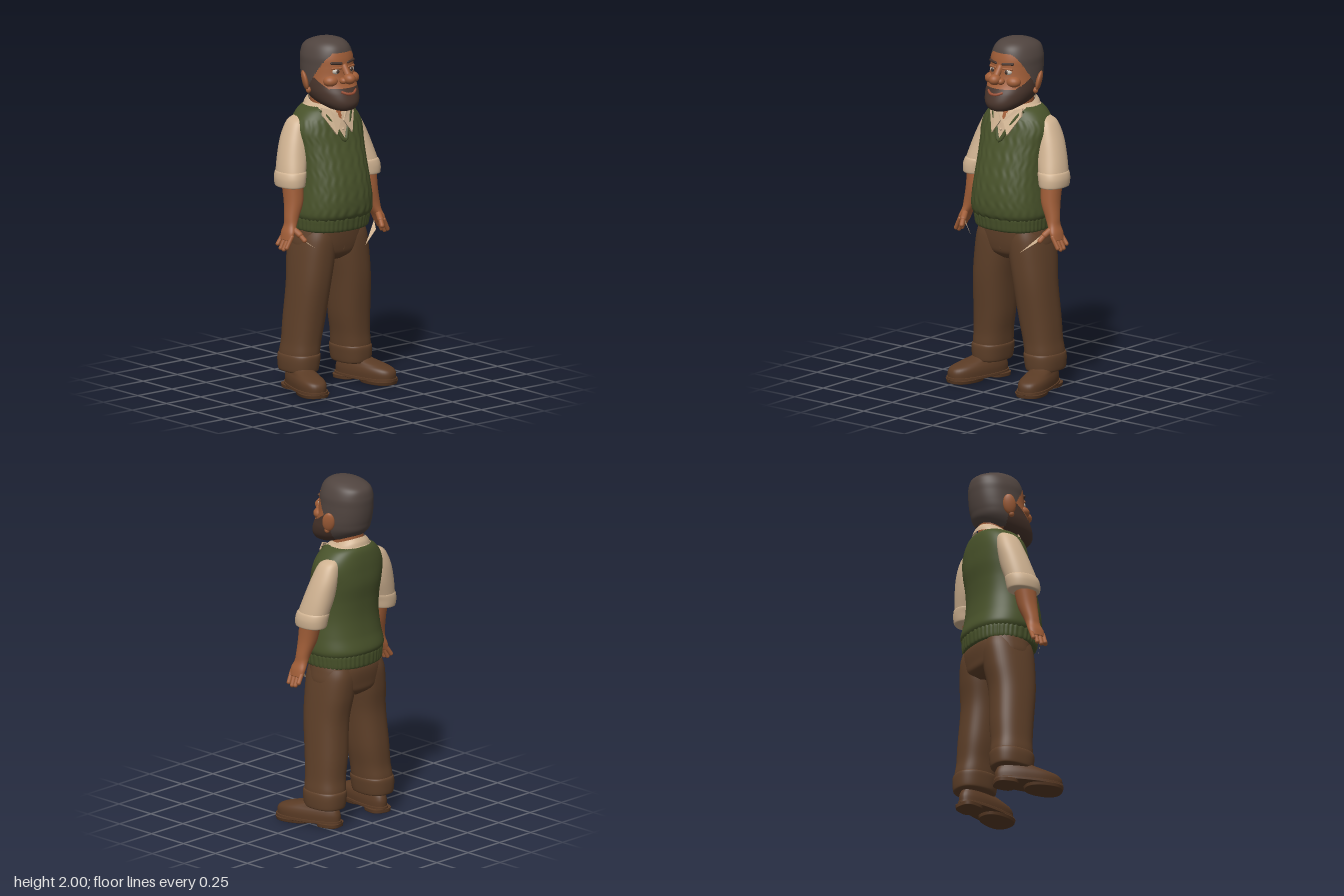
import * as THREE from 'three';

const mat = (name, color, side = THREE.FrontSide) => {
  const m = new THREE.MeshStandardMaterial({ color, side });
  m.name = name;
  return m;
};
const skin = mat('skin', 0xa15e38);
const hair = mat('hair', 0x50443f);
const beard = mat('beard', 0x49352c);
const knit = mat('green knit', 0x48522a);
const cloth = mat('cream cloth', 0xcfb291, THREE.DoubleSide);
const trouser = mat('brown trouser', 0x5f4029);
const leather = mat('shoe leather', 0x5a3b25);
const eyeWhite = mat('eye white', 0xc9bfb2);
const lip = mat('lip', 0x9a4f35);

// Smooth stack of horizontal superellipse rings; each section is [y, cx, cz, rx, rz], rising
function loft(sections, { n = 48, steps = 8, p = 2.2, swell = () => 1, pick, caps = true } = {}) {
  const rows = [], last = sections.length - 1;
  for (let i = 0; i <= last * steps; i++) {
    const k = Math.min(Math.floor(i / steps), last - 1), t = i / steps - k;
    const [a, b, c, d] = [-1, 0, 1, 2].map(o => sections[Math.max(0, Math.min(last, k + o))]);
    rows.push(b.map((v, q) => v + 0.5 * t * (c[q] - a[q] + t * (2 * a[q] - 5 * v + 4 * c[q] - d[q]
      + t * (3 * (v - c[q]) + d[q] - a[q])))));
  }
  const pos = [], tris = [];
  const pw = v => Math.sign(v) * Math.abs(v) ** (2 / p);
  for (const [y, cx, cz, rx, rz] of rows) for (let j = 0; j < n; j++) {
    const t = j / n * Math.PI * 2, f = swell(t, y);
    pos.push(cx + rx * f * pw(Math.sin(t)), y, cz + rz * f * pw(Math.cos(t)));
  }
  for (let i = 0; i < rows.length - 1; i++) for (let j = 0; j < n; j++) {
    const a = i * n + j, b = i * n + (j + 1) % n;
    tris.push([a, b, a + n], [b, b + n, a + n]);
  }
  if (caps) {
    const lo = pos.length / 3, top = (rows.length - 1) * n, e = rows[rows.length - 1];
    pos.push(rows[0][1], rows[0][0], rows[0][2], e[1], e[0], e[2]);
    for (let j = 0; j < n; j++) tris.push([lo, (j + 1) % n, j], [lo + 1, top + j, top + (j + 1) % n]);
  }
  const g = new THREE.BufferGeometry();
  g.setAttribute('position', new THREE.Float32BufferAttribute(pos, 3));
  if (pick) {
    // sort faces into colour groups by where their centre lies
    const buckets = [[], [], []];
    const mid = (t, o) => (pos[t[0] * 3 + o] + pos[t[1] * 3 + o] + pos[t[2] * 3 + o]) / 3;
    for (const t of tris) buckets[pick(mid(t, 0), mid(t, 1), mid(t, 2))].push(...t);
    let start = 0;
    buckets.forEach((b, m) => { g.addGroup(start, b.length, m); start += b.length; });
    g.setIndex(buckets.flat());
  } else g.setIndex(tris.flat());
  g.computeVertexNormals();
  return g;
}

// Section from half width, front z and back z
const fb = (y, hw, f, b) => [y, 0, (f + b) / 2, hw, (f - b) / 2];

export function createModel() {
  const root = new THREE.Group();
  root.name = 'man';
  const add = (name, geo, material, parent = root) => {
    const m = new THREE.Mesh(geo, material);
    m.name = name;
    parent.add(m);
    return m;
  };
  const ball = (name, material, p, s, parent) => {
    const m = add(name, new THREE.SphereGeometry(1, 24, 16), material, parent);
    m.position.set(...p);
    m.scale.set(...s);
    return m;
  };
  const rod = (name, material, a, b, r, parent) => {
    const A = new THREE.Vector3(...a), d = new THREE.Vector3(...b).sub(A), len = d.length();
    const m = add(name, new THREE.CapsuleGeometry(r, len, 6, 12), material, parent);
    m.position.copy(A).addScaledVector(d, 0.5);
    m.quaternion.setFromUnitVectors(new THREE.Vector3(0, 1, 0), d.normalize());
    return m;
  };
  const tube = (name, material, pts, r) => add(name, new THREE.TubeGeometry(
    new THREE.CatmullRomCurve3(pts.map(p => new THREE.Vector3(...p))), 32, r, 8), material);

  // Head with cropped hair and beard
  const headPick = (x, y, z) => {
    if (y > (z < -0.05 ? 1.65 : 1.93 - 1.6 * Math.max(0, 0.085 - z))) return 1;
    return z > -0.05 && y < (z > 0.1 ? 1.735 : 1.79 - 0.6 * Math.max(0, z)) ? 2 : 0;
  };
  add('head', loft([
    fb(1.602, 0.04, 0.14, 0.04), fb(1.615, 0.075, 0.165, 0), fb(1.65, 0.112, 0.178, -0.11),
    fb(1.70, 0.134, 0.163, -0.172), fb(1.75, 0.14, 0.135, -0.19), fb(1.80, 0.139, 0.118, -0.2),
    fb(1.85, 0.137, 0.113, -0.205), fb(1.90, 0.134, 0.108, -0.206), fb(1.95, 0.115, 0.092, -0.192),
    fb(1.98, 0.085, 0.062, -0.14), fb(1.995, 0.045, 0.02, -0.085), fb(2.0, 0.012, -0.02, -0.045),
  ], { n: 128, steps: 9, p: 2.15, pick: headPick }), [skin, hair, beard]);
  add('neck', loft([[1.48, 0, -0.06, 0.09, 0.1], [1.6, 0, -0.06, 0.08, 0.09], [1.7, 0, -0.06, 0.08, 0.09]]), skin);

  // Face
  ball('noseTip', skin, [0, 1.787, 0.15], [0.034, 0.031, 0.038]);
  rod('noseBridge', skin, [0, 1.85, 0.105], [0, 1.795, 0.145], 0.019);
  tube('lips', lip, [[-0.052, 1.716, 0.141], [-0.02, 1.704, 0.162], [0.02, 1.704, 0.162], [0.052, 1.716, 0.141]], 0.008);
  for (const s of [1, -1]) {
    ball('nostril', skin, [s * 0.03, 1.777, 0.132], [0.02, 0.019, 0.024]);
    ball('cheek', skin, [s * 0.075, 1.772, 0.078], [0.046, 0.034, 0.042]);
    ball('eye', eyeWhite, [s * 0.051, 1.828, 0.093], [0.025, 0.019, 0.02]);
    ball('iris', beard, [s * 0.05, 1.828, 0.108], [0.011, 0.012, 0.008]);
    rod('upperLid', skin, [s * 0.027, 1.845, 0.109], [s * 0.077, 1.845, 0.094], 0.007);
    rod('eyebrow', beard, [s * 0.025, 1.872, 0.109], [s * 0.08, 1.876, 0.09], 0.008);
    const ear = ball('ear', skin, [s * 0.152, 1.765, -0.055], [0.016, 0.058, 0.036]);
    ear.rotation.set(-0.15, s * 0.5, -s * 0.15);
    ball('earLobe', skin, [s * 0.143, 1.712, -0.035], [0.014, 0.018, 0.016]);
  }

  // Knitted vest, with the shirt and chest showing in the neckline
  const vestPick = (x, y, z) => {
    if (z > 0 && y > 1.535 + Math.abs(x) * 3) return 2;
    return y > 1.612 || (z > 0 && y > 1.43 + Math.abs(x) * 1.7) ? 1 : 0;
  };
  add('vest', loft([
    fb(0.985, 0.222, 0.175, -0.21), fb(1.02, 0.234, 0.193, -0.222), fb(1.1, 0.226, 0.195, -0.202),
    fb(1.2, 0.214, 0.18, -0.19), fb(1.3, 0.21, 0.153, -0.193), fb(1.4, 0.215, 0.121, -0.205),
    fb(1.48, 0.222, 0.096, -0.203), fb(1.54, 0.203, 0.078, -0.198), fb(1.59, 0.16, 0.055, -0.188),
    fb(1.615, 0.115, 0.03, -0.17), fb(1.625, 0.08, 0.01, -0.14),
  ], {
    n: 168, steps: 10, p: 2.35, pick: vestPick,
    swell: (t, y) => 1 + (y < 1.55 ? 0.011 : 0) * Math.max(0, Math.cos(t)) * Math.cos(26 * t + 0.9 * Math.sin(y * 70)),
  }), [knit, cloth, skin]);
  add('vestHem', loft([
    fb(0.915, 0.205, 0.155, -0.2), fb(0.925, 0.217, 0.167, -0.21), fb(0.96, 0.222, 0.174, -0.214),
    fb(0.995, 0.224, 0.178, -0.214), fb(1.005, 0.21, 0.165, -0.2),
  ], { n: 240, steps: 4, p: 2.35, swell: t => 1 + 0.01 * Math.cos(48 * t) }), knit);
  tube('necklineTrim', knit, [[-0.105, 1.6, 0.03], [-0.078, 1.555, 0.06], [-0.04, 1.492, 0.088], [0, 1.427, 0.113],
    [0.04, 1.492, 0.088], [0.078, 1.555, 0.06], [0.105, 1.6, 0.03]], 0.012);

  // Shirt collar, higher at the back
  const band = loft([[1.575, 0, -0.055, 0.122, 0.125], [1.6, 0, -0.055, 0.113, 0.118], [1.627, 0, -0.057, 0.093, 0.1]],
    { caps: false });
  const bp = band.attributes.position;
  for (let i = 0; i < bp.count; i++) bp.setY(i, bp.getY(i) - 0.35 * (bp.getZ(i) + 0.05));
  band.computeVertexNormals();
  add('collarBand', band, cloth);
  for (const s of [1, -1]) {
    const shape = new THREE.Shape([[0.012, 1.535], [0.055, 1.465], [0.112, 1.57], [0.108, 1.615], [0.06, 1.6]]
      .map(([x, y]) => new THREE.Vector2(s * x, y)));
    const flap = new THREE.ExtrudeGeometry(shape, { depth: 0.012, bevelEnabled: false });
    const fp = flap.attributes.position;
    for (let i = 0; i < fp.count; i++) {
      fp.setZ(i, fp.getZ(i) + 0.104 - (fp.getY(i) - 1.47) * 0.4 - fp.getX(i) ** 2 * 1.6);
    }
    flap.computeVertexNormals();
    add('collarFlap', flap, cloth);
  }
  ball('shirtButton', cloth, [0, 1.49, 0.098], [0.008, 0.008, 0.006]);

  // Seat of the trousers
  add('trouserSeat', loft([
    [0.735, 0, -0.045, 0.08, 0.09], [0.77, 0, -0.045, 0.17, 0.138], [0.82, 0, -0.042, 0.226, 0.152],
    [0.9, 0, -0.04, 0.22, 0.16], [0.97, 0, -0.03, 0.2, 0.15],
  ], { p: 2.4 }), trouser);
  rod('flySeam', trouser, [0, 0.91, 0.113], [0, 0.8, 0.1], 0.008);

  for (const s of [1, -1]) {
    const S = rows => rows.map(([y, cx, ...r]) => [y, s * cx, ...r]);

    // Arm
    const arm = new THREE.Group();
    arm.name = s > 0 ? 'leftArm' : 'rightArm';
    root.add(arm);
    add('sleeve', loft(S([
      [1.19, 0.272, -0.04, 0.066, 0.088], [1.25, 0.264, -0.046, 0.074, 0.093], [1.35, 0.236, -0.066, 0.078, 0.088],
      [1.45, 0.212, -0.083, 0.066, 0.078], [1.53, 0.185, -0.09, 0.05, 0.06], [1.56, 0.17, -0.095, 0.02, 0.03],
    ])), cloth, arm);
    add('sleeveCuff', loft(S([
      [1.178, 0.275, -0.039, 0.062, 0.085], [1.185, 0.275, -0.039, 0.072, 0.096], [1.225, 0.272, -0.042, 0.078, 0.1],
      [1.258, 0.264, -0.046, 0.078, 0.097], [1.268, 0.262, -0.047, 0.068, 0.088],
    ])), cloth, arm);
    add('forearm', loft(S([
      [0.89, 0.342, 0.008, 0.02, 0.046], [0.93, 0.328, 0.008, 0.026, 0.05], [0.97, 0.309, 0.004, 0.031, 0.042],
      [1.01, 0.296, 0, 0.039, 0.042], [1.1, 0.272, -0.012, 0.053, 0.055], [1.22, 0.268, -0.03, 0.058, 0.063],
    ])), skin, arm);
    for (let i = 0; i < 4; i++) {
      const z = -0.034 + i * 0.026, drop = [0.862, 0.842, 0.838, 0.85][i];
      rod('finger', skin, [s * 0.336, 0.91, z + 0.006], [s * 0.368, drop, z], 0.0125, arm);
    }
    rod('thumbBase', skin, [s * 0.315, 0.955, 0.025], [s * 0.295, 0.92, 0.07], 0.018, arm);
    rod('thumb', skin, [s * 0.295, 0.92, 0.07], [s * 0.283, 0.89, 0.098], 0.014, arm);

    // Leg
    const leg = new THREE.Group();
    leg.name = s > 0 ? 'leftLeg' : 'rightLeg';
    root.add(leg);
    add('trouserLeg', loft(S([
      [0.12, 0.19, -0.065, 0.088, 0.108], [0.2, 0.187, -0.063, 0.098, 0.12], [0.28, 0.178, -0.057, 0.099, 0.117],
      [0.4, 0.164, -0.05, 0.106, 0.123], [0.6, 0.146, -0.033, 0.11, 0.132], [0.75, 0.126, -0.037, 0.115, 0.146],
      [0.86, 0.112, -0.04, 0.112, 0.15], [0.92, 0.105, -0.04, 0.1, 0.14],
    ]), { p: 2.4 }), trouser, leg);
    add('trouserCuff', loft(S([
      [0.105, 0.192, -0.065, 0.085, 0.11], [0.115, 0.192, -0.065, 0.095, 0.122], [0.165, 0.19, -0.064, 0.102, 0.128],
      [0.2, 0.187, -0.063, 0.102, 0.127], [0.21, 0.186, -0.062, 0.092, 0.115],
    ]), { p: 2.4 }), trouser, leg);

    // Shoe, turned outward and broader at the toe
    const shoe = new THREE.Group();
    shoe.name = 'shoe';
    shoe.position.set(s * 0.222, 0, 0.025);
    shoe.rotation.y = s * 0.24;
    leg.add(shoe);
    const shoePart = (name, rows, p) => {
      const g = loft(rows, { p, steps: 5 }), q = g.attributes.position;
      for (let i = 0; i < q.count; i++) q.setX(i, q.getX(i) * (1 + 0.9 * q.getZ(i)));
      g.computeVertexNormals();
      add(name, g, leather, shoe);
    };
    shoePart('shoeUpper', [
      [0.022, 0, 0, 0.074, 0.196], [0.06, 0, 0, 0.076, 0.197], [0.085, 0, -0.006, 0.072, 0.185],
      [0.105, 0, -0.03, 0.064, 0.152], [0.13, 0, -0.075, 0.058, 0.105], [0.17, 0, -0.09, 0.055, 0.085]], 2.4);
    shoePart('shoeWelt', [[0.018, 0, 0, 0.08, 0.203], [0.034, 0, 0, 0.08, 0.203]], 2.5);
    shoePart('shoeSole', [[0, 0, 0.09, 0.072, 0.108], [0.02, 0, 0.09, 0.078, 0.113]], 2.4);
    shoePart('shoeHeel', [[0, 0, -0.135, 0.074, 0.066], [0.022, 0, -0.135, 0.078, 0.068]], 3);
    for (let i = 0; i < 3; i++) {
      const z = 0.045 + i * 0.03, y = 0.117 - i * 0.008;
      rod('lace', leather, [-0.03, y - 0.008, z], [0.03, y - 0.008, z], 0.006, shoe);
    }
  }

  // Pocket linings poking out at the hips
  for (const pts of [[0.265, 0.918, 0.05, 0.25, 0.872, 0.085, 0.15, 0.802, 0.112],
    [-0.29, 0.908, 0.06, -0.283, 0.892, 0.065, -0.21, 0.836, 0.1]]) {
    const g = new THREE.BufferGeometry();
    g.setAttribute('position', new THREE.Float32BufferAttribute(pts, 3));
    g.computeVertexNormals();
    add('pocketLining', g, cloth);
  }
  return root;
}
